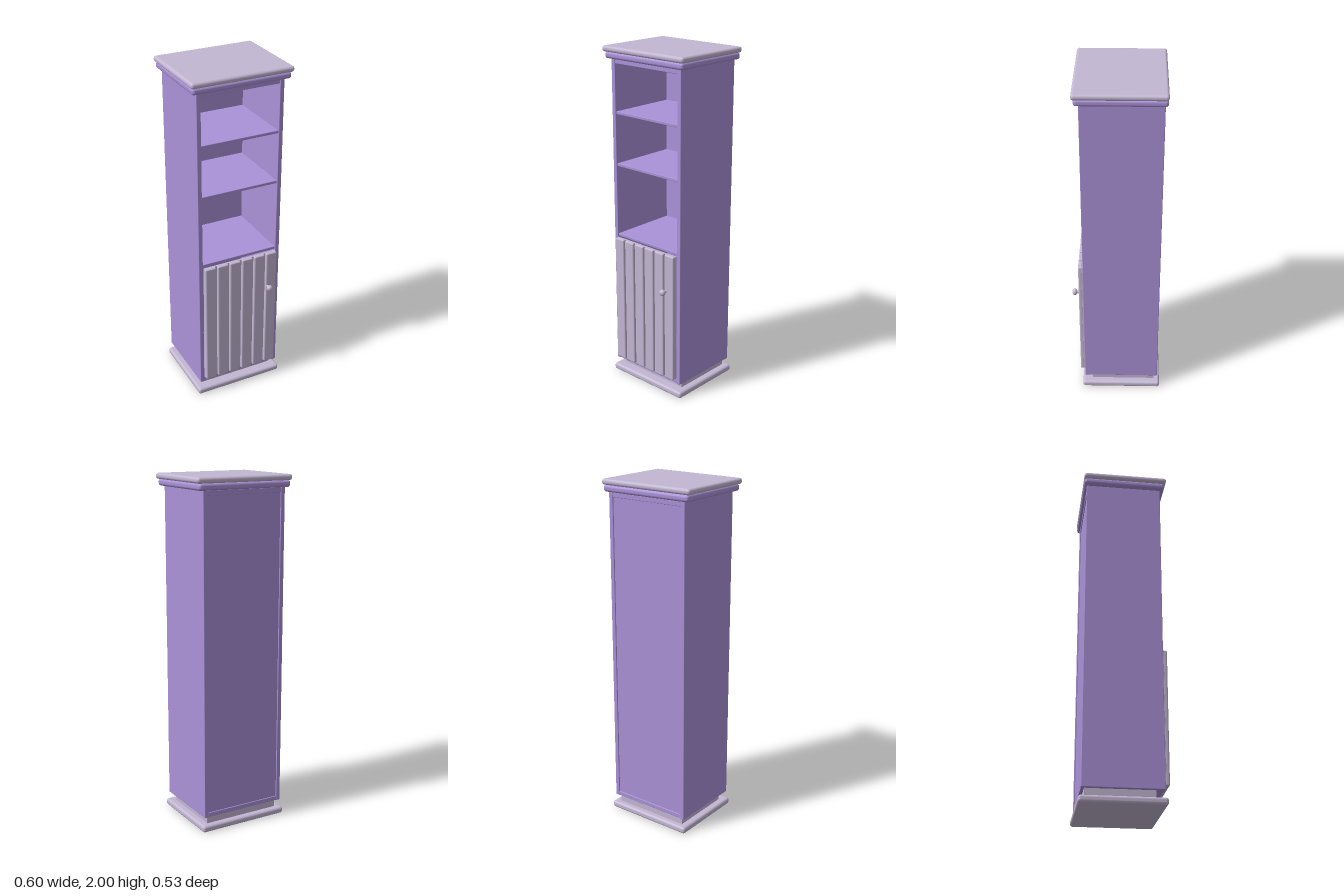
import * as THREE from 'three';
import { RoundedBoxGeometry } from 'three/addons/geometries/RoundedBoxGeometry.js';

export function createModel() {
  const group = new THREE.Group();
  const purple = new THREE.MeshStandardMaterial({ color: 0xab92d8 });
  purple.name = 'purple paint';
  const lavender = new THREE.MeshStandardMaterial({ color: 0xc3b7d3 });
  lavender.name = 'pale lavender paint';

  // A board given by its limits on each axis, with softened edges
  function board(name, material, [x0, x1], [y0, y1], [z0, z1], radius = 0.003, parent = group) {
    const geometry = new RoundedBoxGeometry(x1 - x0, y1 - y0, z1 - z0, radius > 0.005 ? 5 : 2, radius);
    const mesh = new THREE.Mesh(geometry, material);
    mesh.position.set((x0 + x1) / 2, (y0 + y1) / 2, (z0 + z1) / 2);
    mesh.name = name;
    parent.add(mesh);
    return mesh;
  }

  // Base and recessed plinth
  board('base', lavender, [-0.273, 0.273], [0, 0.04], [-0.262, 0.207], 0.015);
  board('plinth', lavender, [-0.232, 0.232], [0.035, 0.09], [-0.228, 0.147], 0.001);

  // Carcass
  for (const [name, s] of [['leftSide', 1], ['rightSide', -1]]) {
    const xs = s > 0 ? [0.232, 0.257] : [-0.257, -0.232];
    board(name, purple, xs, [0.084, 1.932], [-0.247, 0.193]);
  }
  const inner = [-0.233, 0.233];
  board('bottomPanel', purple, inner, [0.085, 0.111], [-0.245, 0.19]);
  board('topPanel', purple, inner, [1.903, 1.931], [-0.245, 0.19]);
  board('backPanel', purple, inner, [0.108, 1.906], [-0.24, -0.228], 0.001);

  // Shelves
  for (const y of [0.889, 1.316, 1.618])
    board('shelf', purple, inner, [y, y + 0.017], [-0.23, 0.187]);

  // Cornice and top slab
  board('cornice', purple, [-0.287, 0.287], [1.93, 1.968], [-0.262, 0.217], 0.015);
  board('topSlab', lavender, [-0.298, 0.298], [1.967, 2], [-0.264, 0.228], 0.015);

  // Planked door
  const door = new THREE.Group();
  door.name = 'door';
  group.add(door);
  board('doorBacking', lavender, [-0.229, 0.229], [0.114, 0.886], [0.19, 0.203], 0.002, door);
  for (let i = 0; i < 6; i++) {
    const x = (i - 2.5) * 0.078;
    board('doorPlank', lavender, [x - 0.034, x + 0.034], [0.112, 0.888], [0.197, 0.221], 0.008, door);
  }

  // Turned knob
  const knob = new THREE.Group();
  knob.name = 'knob';
  knob.position.set(0.172, 0.667, 0);
  const stem = new THREE.Mesh(new THREE.CylinderGeometry(0.007, 0.009, 0.03, 20), lavender);
  stem.rotation.x = Math.PI / 2;
  stem.position.z = 0.227;
  stem.name = 'knobStem';
  const ball = new THREE.Mesh(new THREE.SphereGeometry(0.019, 28, 18), lavender);
  ball.scale.z = 0.82;
  ball.position.z = 0.247;
  ball.name = 'knobBall';
  knob.add(stem, ball);
  door.add(knob);

  return group;
}
